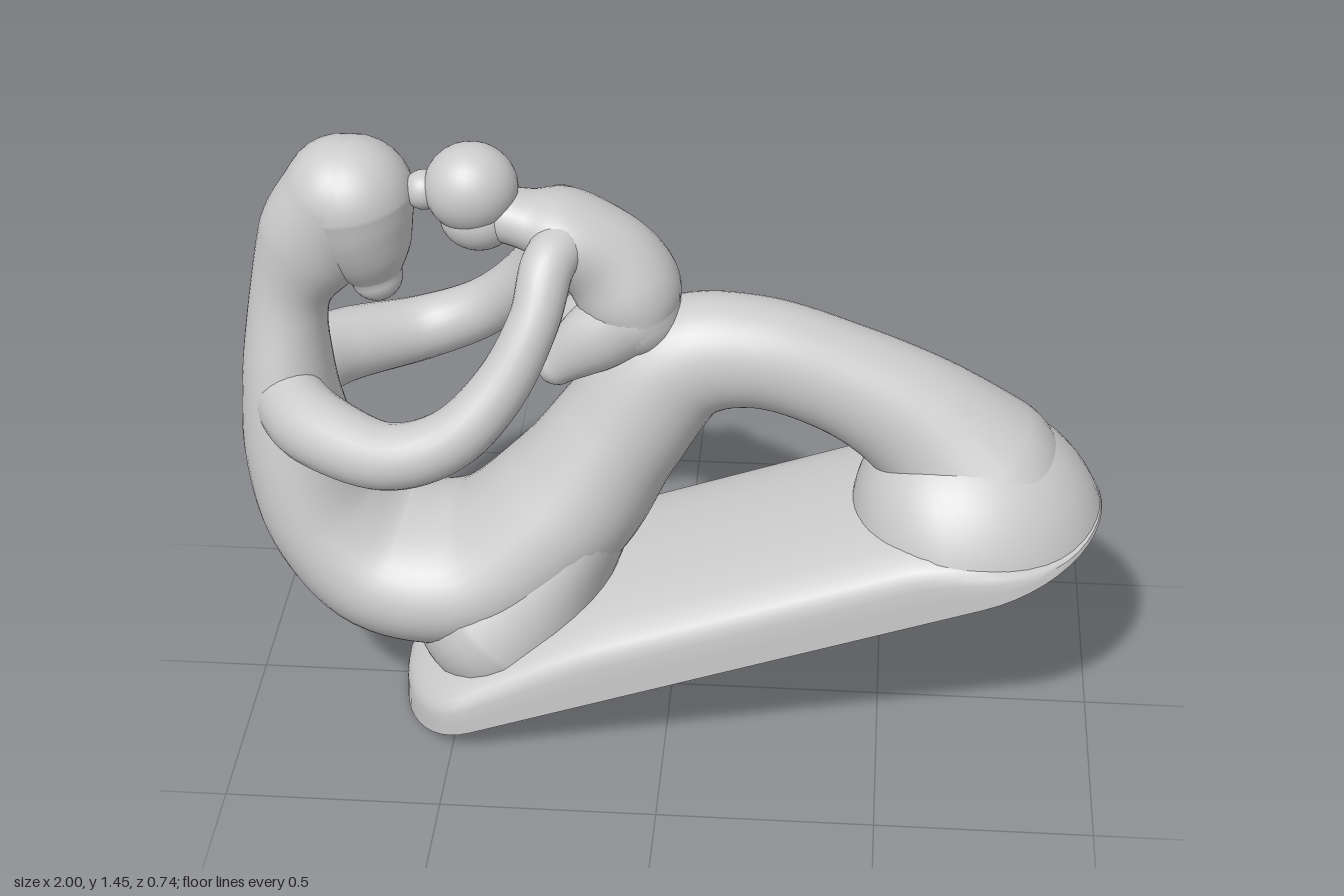
import * as THREE from 'three';
import { toCreasedNormals } from 'three/addons/utils/BufferGeometryUtils.js';

const material = new THREE.MeshStandardMaterial({ color: 0xcccccc });
const TILT = Math.atan2(0.58, 1.64);
const START_X = -0.642;
const LENGTH = 1.74;
const { smoothstep, lerp } = THREE.MathUtils;

function add(parent, name, geometry) {
  const mesh = new THREE.Mesh(geometry, material);
  mesh.name = name;
  parent.add(mesh);
}

// Height of the tilted underside at a given x
const floorAt = (x) => (x - START_X) * Math.tan(TILT);

// Smooth limb through stations [x, y, z, half thickness, half width], with round ends
function limb(stations, steps = 48, sides = 32) {
  const path = new THREE.CatmullRomCurve3(stations.map((s) => new THREE.Vector3(s[0], s[1], s[2])), false, 'catmullrom', 0.5);
  const size = new THREE.CatmullRomCurve3(stations.map((s) => new THREE.Vector3(s[3], s[4] ?? s[3], 0)), false, 'catmullrom', 0.5);
  const rings = [];
  const CAP = 8;
  for (let i = 0; i <= CAP; i++) rings.push([0, -Math.cos((i / CAP) * Math.PI / 2), Math.sin((i / CAP) * Math.PI / 2)]);
  for (let i = 1; i < steps; i++) rings.push([i / steps, 0, 1]);
  for (let i = 0; i <= CAP; i++) rings.push([1, Math.sin((i / CAP) * Math.PI / 2), Math.cos((i / CAP) * Math.PI / 2)]);

  const positions = [];
  const index = [];
  const zAxis = new THREE.Vector3(0, 0, 1);
  rings.forEach(([t, push, scale], i) => {
    const tangent = path.getTangent(t);
    const n = new THREE.Vector3().crossVectors(tangent, zAxis).normalize();
    const b = new THREE.Vector3().crossVectors(tangent, n);
    const r = size.getPoint(t);
    const centre = path.getPoint(t).addScaledVector(tangent, push * Math.min(r.x, r.y));
    const k = Math.max(scale, 0.001);
    for (let j = 0; j < sides; j++) {
      const angle = (j / sides) * Math.PI * 2;
      const p = centre.clone()
        .addScaledVector(n, Math.cos(angle) * r.x * k)
        .addScaledVector(b, Math.sin(angle) * r.y * k);
      positions.push(p.x, Math.max(p.y, floorAt(p.x) + 0.02), p.z);
      if (i < rings.length - 1) {
        const a = i * sides + j;
        const c = i * sides + ((j + 1) % sides);
        index.push(a, c, a + sides, c, c + sides, a + sides);
      }
    }
  });
  const geometry = new THREE.BufferGeometry();
  geometry.setAttribute('position', new THREE.Float32BufferAttribute(positions, 3));
  geometry.setIndex(index);
  geometry.computeVertexNormals();
  return geometry;
}

function ellipsoid(x, y, z, rx, ry, rz) {
  return new THREE.SphereGeometry(1, 32, 24).scale(rx, ry, rz).translate(x, y, z);
}

// Slab with rounded ends and a gently crowned top, thin at the tail and sloping off under the feet
function slabGeometry() {
  const halfWidth = 0.316;
  const tail = 0.2;
  const toe = 0.29;
  const outline = []; // [spine u, offset u, offset z]
  const CAP = 24;
  const SIDE = 30;
  const straight = LENGTH - toe - tail;
  for (let i = 0; i <= CAP; i++) {
    const a = (i / CAP - 0.5) * Math.PI;
    outline.push([LENGTH - toe, toe * Math.cos(a), halfWidth * Math.sin(a)]);
  }
  for (let i = 1; i < SIDE; i++) outline.push([LENGTH - toe - straight * i / SIDE, 0, halfWidth]);
  for (let i = 0; i <= CAP; i++) {
    const a = (i / CAP + 0.5) * Math.PI;
    outline.push([tail, tail * Math.cos(a), halfWidth * Math.sin(a)]);
  }
  for (let i = 1; i < SIDE; i++) outline.push([tail + straight * i / SIDE, 0, -halfWidth]);

  // [distance from spine, height], from the middle of the underside to the middle of the top
  const profile = [[0, 0], [1, 0], [1, 0.25], [1, 0.48], [0.985, 0.6], [0.95, 0.7], [0.88, 0.79], [0.76, 0.87], [0.6, 0.93], [0.35, 0.98], [0, 1]];
  const n = outline.length;
  const positions = [];
  const index = [];
  profile.forEach(([f, h], i) => outline.forEach(([spine, du, dz], j) => {
    const u = spine + du * f;
    const thickness = lerp(0.115, 0.19, smoothstep(u, 0.05, 0.6)) * (1 - 0.9 * smoothstep(u, 1.3, 1.72));
    const y = h * thickness;
    positions.push(u + 0.4 * y * (1 - smoothstep(u, 0, 0.3)), y, dz * f);
    if (i < profile.length - 1) {
      const a = i * n + j;
      const c = i * n + ((j + 1) % n);
      index.push(a, a + n, c, c, a + n, c + n);
    }
  }));
  const geometry = new THREE.BufferGeometry();
  geometry.setAttribute('position', new THREE.Float32BufferAttribute(positions, 3));
  geometry.setIndex(index);
  return toCreasedNormals(geometry, 0.8);
}

export function createModel() {
  const model = new THREE.Group();
  model.name = 'sculpture';

  // Base with the rounded mound of the feet
  const base = new THREE.Group();
  base.name = 'base';
  base.position.x = START_X;
  base.rotation.z = TILT;
  model.add(base);
  add(base, 'slab', slabGeometry());

  const feet = new THREE.SphereGeometry(1, 48, 20, 0, Math.PI * 2, 0, Math.PI / 2);
  const fp = feet.attributes.position;
  for (let i = 0; i < fp.count; i++) {
    const u = fp.getX(i);
    fp.setXYZ(i, 1.41 + u * (u < 0 ? 0.26 : 0.328), fp.getY(i) * 0.335, fp.getZ(i) * 0.314);
  }
  feet.computeVertexNormals();
  add(base, 'feet', feet);

  // Seated parent: hair and back, lap, raised knee and shins in one flow
  const parent = new THREE.Group();
  parent.name = 'parent';
  model.add(parent);
  add(parent, 'bodyAndLegs', limb([
    [-0.735, 1.32, 0, 0.13, 0.138],
    [-0.805, 1.2, 0, 0.13, 0.118],
    [-0.868, 1.06, 0, 0.092, 0.095],
    [-0.885, 0.86, 0, 0.105, 0.14],
    [-0.87, 0.66, 0, 0.128, 0.18],
    [-0.81, 0.48, 0, 0.145, 0.21],
    [-0.67, 0.355, 0, 0.165, 0.24],
    [-0.45, 0.36, 0, 0.17, 0.25],
    [-0.25, 0.53, 0, 0.175, 0.22],
    [-0.12, 0.73, 0, 0.155, 0.17],
    [0.01, 0.915, 0, 0.15, 0.14],
    [0.19, 0.95, 0, 0.13, 0.125],
    [0.4, 0.885, 0, 0.13, 0.125],
    [0.57, 0.785, 0, 0.155, 0.15],
    [0.69, 0.665, 0, 0.195, 0.205],
    [0.76, 0.58, 0, 0.185, 0.25],
  ], 120, 40));
  // Lower side of the thigh, spreading as it meets the slab
  add(parent, 'lowerThigh', limb([
    [-0.06, 0.8, 0, 0.13, 0.14],
    [-0.16, 0.61, 0, 0.12, 0.18],
    [-0.24, 0.46, 0, 0.14, 0.22],
    [-0.33, 0.33, 0, 0.2, 0.255],
    [-0.4, 0.25, 0, 0.22, 0.28],
  ], 32));
  add(parent, 'head', limb([
    [-0.668, 1.115, 0, 0.06, 0.06],
    [-0.682, 1.17, 0, 0.098, 0.098],
    [-0.698, 1.24, 0, 0.122, 0.128],
    [-0.71, 1.312, 0, 0.138, 0.144],
  ], 24));

  // Child leaning forward on the knee
  const child = new THREE.Group();
  child.name = 'child';
  model.add(child);
  add(child, 'childHead', ellipsoid(-0.445, 1.345, 0, 0.105, 0.102, 0.1));
  add(child, 'childChin', ellipsoid(-0.43, 1.275, 0, 0.088, 0.078, 0.08));
  add(child, 'touchingBrow', ellipsoid(-0.55, 1.335, 0, 0.045, 0.045, 0.045));
  add(child, 'childBody', limb([
    [-0.4, 1.285, 0, 0.06, 0.065],
    [-0.32, 1.27, 0, 0.065, 0.085],
    [-0.24, 1.25, 0, 0.085, 0.125],
    [-0.15, 1.18, 0, 0.112, 0.118],
    [-0.1, 1.11, 0, 0.12, 0.13],
    [-0.08, 1.05, 0, 0.105, 0.125],
  ], 32));

  // Paired limbs, mirrored across z
  for (const side of [1, -1]) {
    const label = side > 0 ? 'Front' : 'Back';
    add(parent, 'embracingArm' + label, limb([
      [-0.885, 0.82, 0.06 * side, 0.095, 0.08],
      [-0.79, 0.815, 0.185 * side, 0.088],
      [-0.62, 0.812, 0.285 * side, 0.077],
      [-0.47, 0.87, 0.295 * side, 0.07],
      [-0.36, 0.985, 0.255 * side, 0.063],
      [-0.29, 1.12, 0.2 * side, 0.057],
      [-0.265, 1.22, 0.13 * side, 0.06],
      [-0.235, 1.25, 0.06 * side, 0.06],
    ], 56, 24));
    add(child, 'childLeg' + label, limb([
      [-0.09, 1.06, 0.05 * side, 0.09, 0.08],
      [-0.175, 1.0, 0.055 * side, 0.082, 0.07],
      [-0.255, 0.93, 0.05 * side, 0.05],
    ], 16, 20));
  }
  return model;
}
